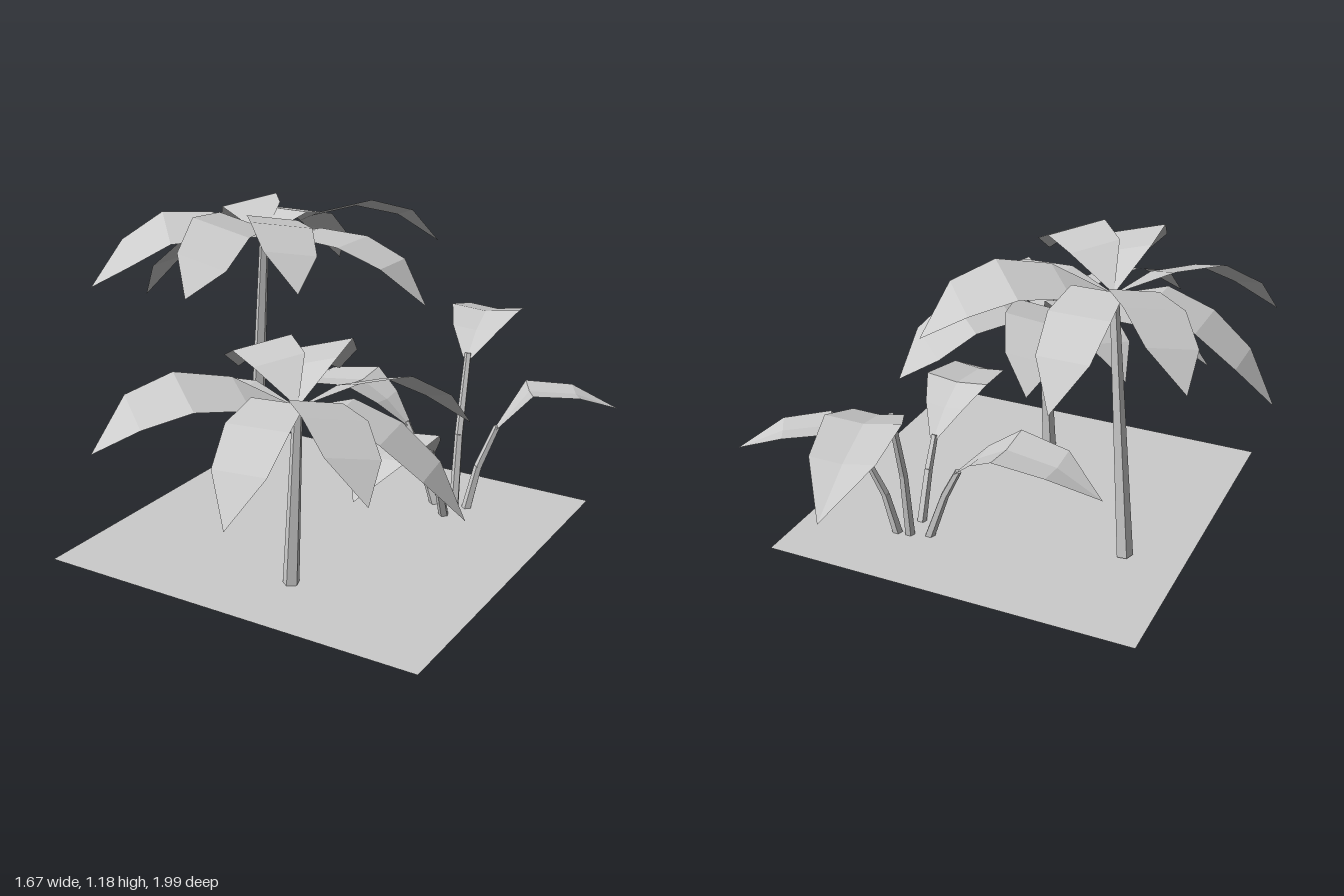
import * as THREE from 'three';

const material = new THREE.MeshStandardMaterial({
  color: 0xcccccc, flatShading: true, side: THREE.DoubleSide,
});

function addMesh(parent, name, geometry) {
  const mesh = new THREE.Mesh(geometry, material);
  mesh.name = name;
  parent.add(mesh);
  return mesh;
}

// Bent leaf running outward at an angle; stations are [reach, height, halfWidth]
function leafGeometry(degrees, stations, roll = 0, fold = 0) {
  const a = THREE.MathUtils.degToRad(degrees);
  const positions = [], index = [];
  stations.forEach(([r, y, w], i) => {
    for (const s of [-1, 0, 1]) {
      positions.push(
        r * Math.cos(a) - s * w * Math.sin(a),
        y + s * w * roll + Math.abs(s) * w * fold,
        r * Math.sin(a) + s * w * Math.cos(a));
    }
    if (i === 0) return;
    for (const k of [0, 1]) {
      const p = (i - 1) * 3 + k, q = i * 3 + k;
      if (stations[i - 1][2] > 0) index.push(p, p + 1, q);
      if (w > 0) index.push(p + 1, q + 1, q);
      else if (k === 0) index.push(p + 1, q + 1, q);
    }
  });
  const indexed = new THREE.BufferGeometry();
  indexed.setAttribute('position', new THREE.Float32BufferAttribute(positions, 3));
  indexed.setIndex(index);
  const geometry = indexed.toNonIndexed();
  geometry.computeVertexNormals();
  return geometry;
}

// Tapered post between two points
function addPost(parent, name, from, to, r0, r1, sides) {
  const a = new THREE.Vector3(...from), b = new THREE.Vector3(...to);
  const dir = b.clone().sub(a);
  const post = addMesh(parent, name, new THREE.CylinderGeometry(r1, r0, dir.length(), sides));
  post.position.copy(a).add(b).multiplyScalar(0.5);
  post.quaternion.setFromUnitVectors(new THREE.Vector3(0, 1, 0), dir.normalize());
}

// Each frond: angle, length, heights at the four bends, sideways roll
const FRONDS = [
  [180, 0.53, [0.02, -0.04, -0.14, -0.28], 0],
  [226, 0.53, [0.07, 0.07, 0.00, -0.10], 0.2],
  [270, 0.51, [0.07, 0.04, -0.05, -0.18], 0],
  [315, 0.63, [0.07, 0.10, 0.06, -0.05], 0.3],
  [0, 0.625, [0.035, 0.025, -0.03, -0.155], 0],
  [46, 0.57, [0.10, 0.11, 0.05, -0.05], 0.15],
  [81, 0.58, [0.09, 0.10, 0.02, -0.07], 0.25],
  [135, 0.595, [0.05, 0.05, -0.03, -0.14], 0.35],
];
const FROND_REACH = [0.28, 0.56, 0.8, 1];
const FROND_WIDTH = [0.085, 0.1, 0.085, 0];

function addPalm(parent, name, base, crown, turn) {
  const palm = new THREE.Group();
  palm.name = name;
  parent.add(palm);
  addPost(palm, 'trunk', base, crown, 0.03, 0.016, 5);
  const fronds = new THREE.Group();
  fronds.name = 'fronds';
  fronds.position.set(...crown);
  fronds.rotation.y = -THREE.MathUtils.degToRad(turn);
  palm.add(fronds);
  for (const [angle, length, heights, roll] of FRONDS) {
    const stations = [[0, 0, 0]];
    heights.forEach((h, i) => stations.push([FROND_REACH[i] * length, h, FROND_WIDTH[i]]));
    addMesh(fronds, 'frond', leafGeometry(angle, stations, roll));
  }
}

// Broad leaf on an arching stalk; the stalk points are [reach, height]
function addBroadLeaf(parent, degrees, stalk, blade) {
  const a = THREE.MathUtils.degToRad(degrees);
  const point = ([r, y]) => [r * Math.cos(a), y, r * Math.sin(a)];
  for (let i = 1; i < stalk.length; i++) {
    addPost(parent, 'stalk', point(stalk[i - 1]), point(stalk[i]),
      0.018 - 0.003 * (i - 1), 0.018 - 0.003 * i, 5);
  }
  addMesh(parent, 'broadLeaf', leafGeometry(degrees, blade, 0, 0.12));
}

export function createModel() {
  const model = new THREE.Group();
  model.name = 'palmGarden';

  // Ground sheet
  const ground = addMesh(model, 'groundSheet', new THREE.PlaneGeometry(1.33, 1.32));
  ground.rotation.x = -Math.PI / 2;
  ground.position.set(0.075, 0.113, 0.11);

  // Two palms sharing one crown, turned and lowered
  addPalm(model, 'tallPalm', [-0.385, 0.12, -0.10], [-0.305, 1.05, -0.065], 0);
  addPalm(model, 'shortPalm', [0.155, 0, 0.51], [0.172, 0.695, 0.48], 171);

  // Clump of broad leaves
  const clump = new THREE.Group();
  clump.name = 'broadLeafPlant';
  clump.position.set(0.35, 0, -0.255);
  model.add(clump);
  for (const angle of [90, 180]) {
    addBroadLeaf(clump, angle,
      [[0.07, 0.11], [0.135, 0.29], [0.19, 0.40]],
      [[0.18, 0.39, 0.014], [0.27, 0.47, 0.075], [0.37, 0.525, 0.12], [0.55, 0.50, 0.1], [0.71, 0.415, 0]]);
  }
  addBroadLeaf(clump, -31,
    [[0.05, 0.11], [0.085, 0.27], [0.145, 0.42]],
    [[0.14, 0.41, 0.014], [0.25, 0.55, 0.085], [0.41, 0.54, 0.075], [0.56, 0.485, 0]]);
  addBroadLeaf(clump, -100,
    [[0.02, 0.105], [0.055, 0.37], [0.14, 0.645]],
    [[0.13, 0.63, 0.016], [0.24, 0.70, 0.085], [0.37, 0.735, 0.125], [0.55, 0.695, 0.105], [0.755, 0.615, 0]]);

  return model;
}
